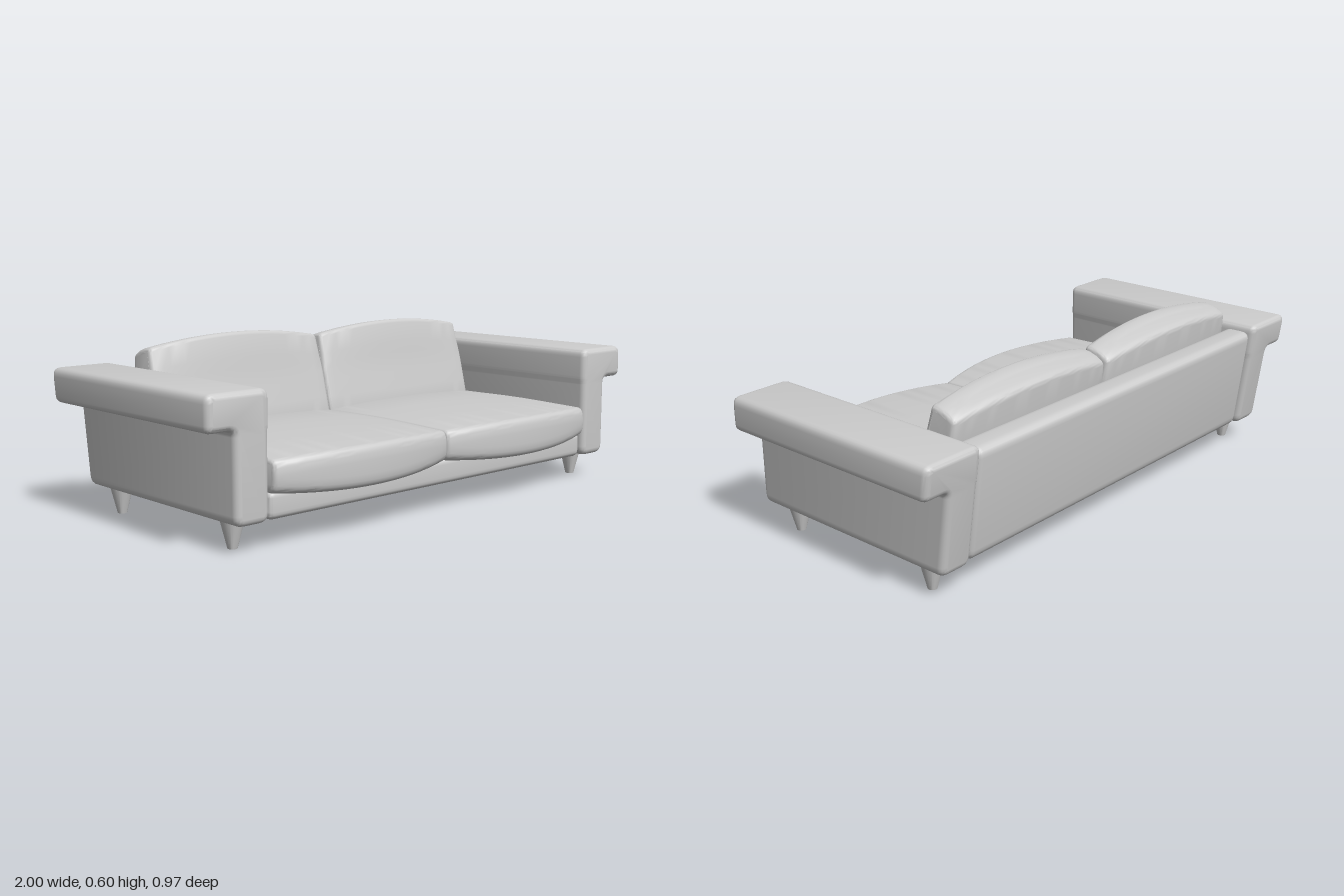
import * as THREE from 'three';
import { toCreasedNormals } from 'three/addons/utils/BufferGeometryUtils.js';

const grey = new THREE.MeshStandardMaterial({ color: 0xcccccc });

// Closed outline from [x, y, cornerRadius] points
function roundedShape(points) {
  const shape = new THREE.Shape();
  const n = points.length;
  points.forEach(([x, y, r], i) => {
    const p = new THREE.Vector2(x, y);
    const toward = ([qx, qy]) => {
      const d = new THREE.Vector2(qx, qy).sub(p);
      return d.setLength(Math.min(r, d.length() * 0.49)).add(p);
    };
    const a = toward(points[(i + n - 1) % n]);
    const b = toward(points[(i + 1) % n]);
    if (i === 0) shape.moveTo(a.x, a.y);
    else shape.lineTo(a.x, a.y);
    shape.quadraticCurveTo(x, y, b.x, b.y);
  });
  shape.closePath();
  return shape;
}

// Soft-edged extrusion centred on its depth
function softExtrude(points, length, bevel, steps = 1) {
  const geo = new THREE.ExtrudeGeometry(roundedShape(points), {
    depth: length - 2 * bevel, steps, curveSegments: 5,
    bevelEnabled: true, bevelSize: bevel, bevelThickness: bevel, bevelOffset: -bevel, bevelSegments: 4,
  });
  return geo.translate(0, 0, bevel - length / 2);
}

// Side profile given as [z, y, r], swept along x
const sweepX = (...args) => softExtrude(...args).rotateY(-Math.PI / 2);

function reshape(geo, rule) {
  const pos = geo.attributes.position;
  const v = new THREE.Vector3();
  for (let i = 0; i < pos.count; i++) {
    rule(v.fromBufferAttribute(pos, i));
    pos.setXYZ(i, v.x, v.y, v.z);
  }
  return geo;
}

function addMesh(parent, name, geo, crease = 0.6) {
  const mesh = new THREE.Mesh(toCreasedNormals(geo, crease), grey);
  mesh.name = name;
  parent.add(mesh);
  return mesh;
}

const HALF = 0.381; // half width of one cushion
const bulge = (x) => Math.max(0, 1 - (x / HALF) ** 2);

// Arm: overhanging top on a narrow upright, with a raked back
function armGeometry(side) {
  let outline = [
    [0.77, 0.09, 0.035], [0.9, 0.09, 0.035], [0.9, 0.385, 0.02], [1.0, 0.385, 0.025],
    [1.0, 0.504, 0.03], [0.767, 0.504, 0.03], [0.767, 0.39, 0.01], [0.77, 0.37, 0.01],
  ];
  if (side < 0) outline = outline.map(([x, y, r]) => [-x, y, r]).reverse();
  const geo = softExtrude(outline, 0.82, 0.022);
  return reshape(geo, (v) => {
    if (v.z < 0) v.z -= 0.026 + 0.135 * (v.y - 0.1);
  });
}

function seatGeometry() {
  const geo = sweepX([
    [0.412, 0.175, 0.03], [0.422, 0.228, 0.05], [0.412, 0.281, 0.022], [0.1, 0.29, 0.1],
    [-0.3, 0.285, 0.02], [-0.3, 0.175, 0.02],
  ], 2 * HALF, 0.012, 24);
  return reshape(geo, (v) => {
    const b = bulge(v.x);
    if (v.z > 0.2) v.z += 0.06 * b;
    v.y += (v.y > 0.228 ? 0.014 : -0.02) * b;
  });
}

function backCushionGeometry() {
  const geo = sweepX([
    [-0.18, 0.25, 0.02], [-0.222, 0.42, 0.1], [-0.262, 0.568, 0.015], [-0.315, 0.562, 0.05],
    [-0.362, 0.535, 0.015], [-0.345, 0.4, 0.1], [-0.3, 0.25, 0.02],
  ], 2 * HALF, 0.015, 24);
  return reshape(geo, (v) => {
    const b = bulge(v.x);
    const high = THREE.MathUtils.smoothstep(v.y, 0.42, 0.54);
    v.y += 0.036 * b * high;
    const middle = -0.24 - 0.28 * (v.y - 0.25);
    v.z += (v.z > middle ? 0.012 : -0.022) * b;
    v.x *= 1 - 0.02 * high;
  });
}

export function createModel() {
  const sofa = new THREE.Group();
  sofa.name = 'sofa';

  // Base and raked back panel in one profile
  addMesh(sofa, 'frame', sweepX([
    [-0.428, 0.09, 0.04], [-0.477, 0.483, 0.035], [-0.37, 0.483, 0.03], [-0.33, 0.18, 0.02],
    [0.4, 0.18, 0.02], [0.4, 0.09, 0.025],
  ], 1.53, 0.02));

  for (const [side, label] of [[1, 'left'], [-1, 'right']]) {
    addMesh(sofa, `${label}Arm`, armGeometry(side));

    // Seat and back cushions
    addMesh(sofa, `${label}SeatCushion`, seatGeometry()).position.x = side * HALF;
    addMesh(sofa, `${label}BackCushion`, backCushionGeometry()).position.x = side * HALF;

    // Tapered legs
    for (const [z, end] of [[0.3, 'Front'], [-0.33, 'Back']]) {
      const leg = addMesh(sofa, `${label}${end}Leg`, new THREE.CylinderGeometry(0.041, 0.016, 0.1, 24));
      leg.position.set(side * 0.835, 0.05, z);
    }
  }
  return sofa;
}
